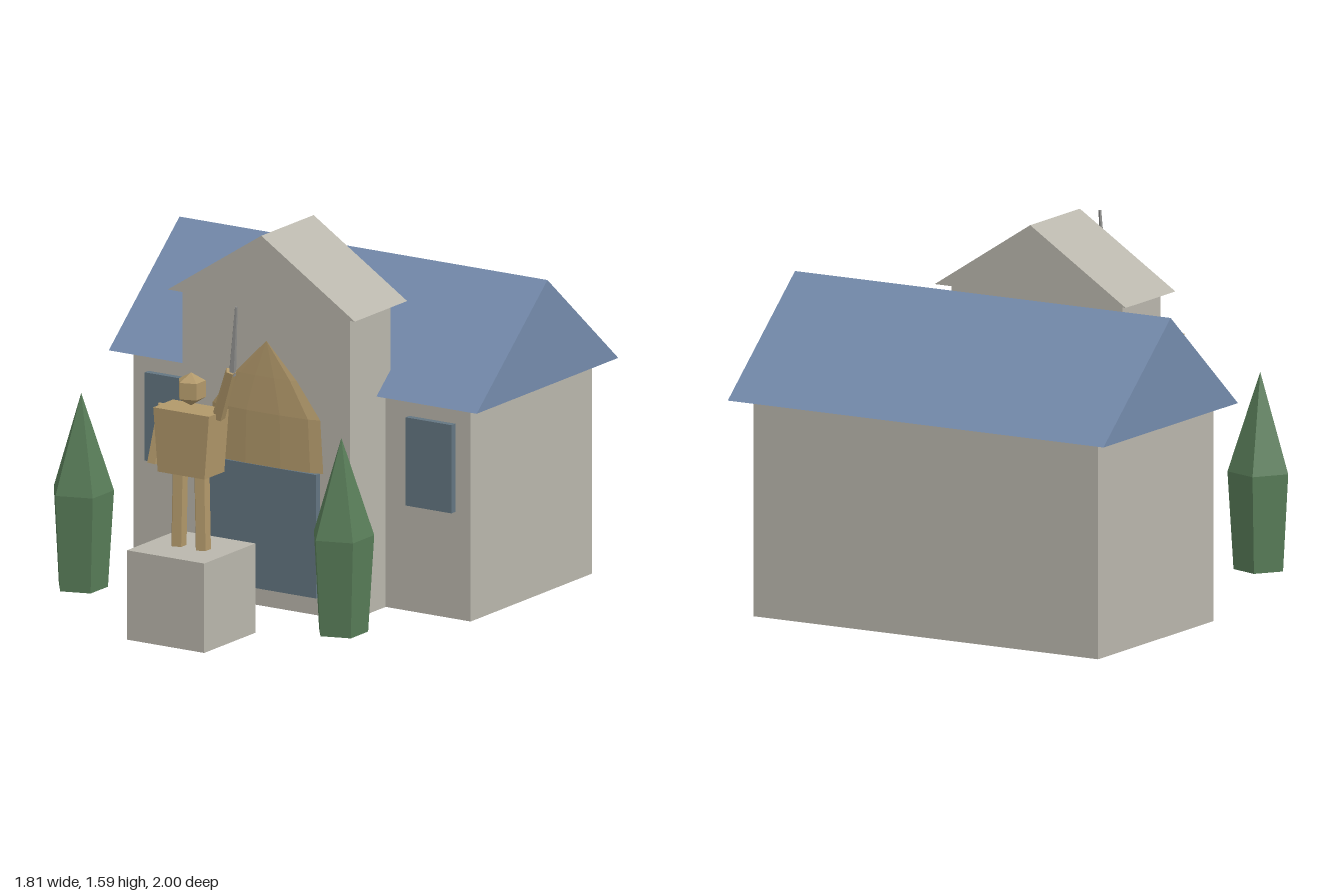
import * as THREE from 'three';

export function createModel() {
  const group = new THREE.Group();
  const mat = (name, color) => {
    const m = new THREE.MeshStandardMaterial({ color, flatShading: true });
    m.name = name;
    return m;
  };
  const stone = mat('stone', 0xb9b6ac);
  const slate = mat('blue slate', 0x748bac);
  const glass = mat('dark blue panel', 0x637581);
  const bronze = mat('bronze', 0xb1986a);
  const leaf = mat('evergreen', 0x587c58);
  const steel = mat('steel', 0x8c8c8a);

  const add = (name, geometry, material, parent = group) => {
    const mesh = new THREE.Mesh(geometry, material);
    mesh.name = name;
    parent.add(mesh);
    return mesh;
  };
  // Box given by its limits on each axis
  const box = (x0, x1, y0, y1, z0, z1) =>
    new THREE.BoxGeometry(x1 - x0, y1 - y0, z1 - z0)
      .translate((x0 + x1) / 2, (y0 + y1) / 2, (z0 + z1) / 2);
  // Gable prism with its ridge along z, centred on z
  const gable = (halfWidth, height, length) => {
    const s = new THREE.Shape([
      new THREE.Vector2(-halfWidth, 0),
      new THREE.Vector2(halfWidth, 0),
      new THREE.Vector2(0, height),
    ]);
    return new THREE.ExtrudeGeometry(s, { depth: length, bevelEnabled: false }).translate(0, 0, -length / 2);
  };
  // Five-sided tapered bar between two points
  const limb = (a, b, ra, rb) => {
    const p = new THREE.Vector3(...a), q = new THREE.Vector3(...b);
    const d = q.clone().sub(p);
    const turn = new THREE.Quaternion().setFromUnitVectors(new THREE.Vector3(0, 1, 0), d.clone().normalize());
    const mid = p.add(q).multiplyScalar(0.5);
    return new THREE.CylinderGeometry(rb, ra, d.length(), 5)
      .rotateY(-Math.PI / 2).applyQuaternion(turn).translate(mid.x, mid.y, mid.z);
  };
  const lathe = (pts, sides) =>
    new THREE.LatheGeometry(pts.map(([r, y]) => new THREE.Vector2(r, y)), sides, -Math.PI / 2);

  // Hall and entrance block
  add('hall', box(-0.83, 0.83, 0, 0.91, -0.92, -0.015), stone);
  add('hallRoof', gable(0.527, 0.45, 1.81).rotateY(Math.PI / 2).translate(0, 0.91, -0.473), slate);
  add('entranceBlock', box(-0.412, 0.412, 0, 1.29, -0.05, 0.25), stone);
  add('entranceGable', gable(0.46, 0.297, 0.39).translate(0, 1.288, 0.093), stone);

  // Door with a flattened dome canopy
  add('door', box(-0.265, 0.265, 0.08, 0.605, 0.24, 0.28), glass);
  add('canopy', lathe([[0, 0.605], [0.28, 0.605], [0.265, 0.83], [0.15, 0.98], [0, 1.13]], 10)
    .scale(1, 1, 0.1).translate(0, 0, 0.25), bronze);

  for (const s of [-1, 1]) {
    const side = s > 0 ? 'left' : 'right';
    add(side + 'Window', box(-0.1125, 0.1125, 0.455, 0.83, -0.025, 0.014).translate(s * 0.642, 0, 0), glass);
    add(side + 'Tree', lathe([[0, 0.08], [0.11, 0.08], [0.135, 0.49], [0, 0.905]], 5)
      .translate(s * 0.64, 0, 0.66), leaf);
  }

  // Statue on its pedestal
  add('pedestal', box(-0.19, 0.19, 0, 0.38, 0.62, 1), stone);
  const statue = new THREE.Group();
  statue.name = 'statue';
  group.add(statue);

  for (const s of [-1, 1]) {
    add(s > 0 ? 'leftLeg' : 'rightLeg',
      limb([s * 0.06, 0.38, 0.815], [s * 0.053, 0.71, 0.815], 0.034, 0.034), bronze, statue);
  }
  // Torso narrows slightly at the waist
  const torso = box(-0.137, 0.137, 0.7, 0.97, 0.737, 0.885);
  const pos = torso.attributes.position;
  for (let i = 0; i < pos.count; i++) {
    if (pos.getY(i) < 0.8) pos.setX(i, pos.getX(i) * 0.84);
  }
  add('torso', torso, bronze, statue);
  add('head', new THREE.SphereGeometry(0.07, 5, 3).translate(0, 1.052, 0.81), bronze, statue);
  add('rightArm', limb([-0.14, 0.965, 0.805], [-0.168, 0.72, 0.84], 0.026, 0.029), bronze, statue);
  add('leftArm', limb([0.13, 0.95, 0.805], [0.222, 1.17, 0.85], 0.029, 0.024), bronze, statue);
  add('sword', limb([0.225, 1.15, 0.845], [0.256, 1.45, 0.862], 0.016, 0.006), steel, statue);

  return group;
}
